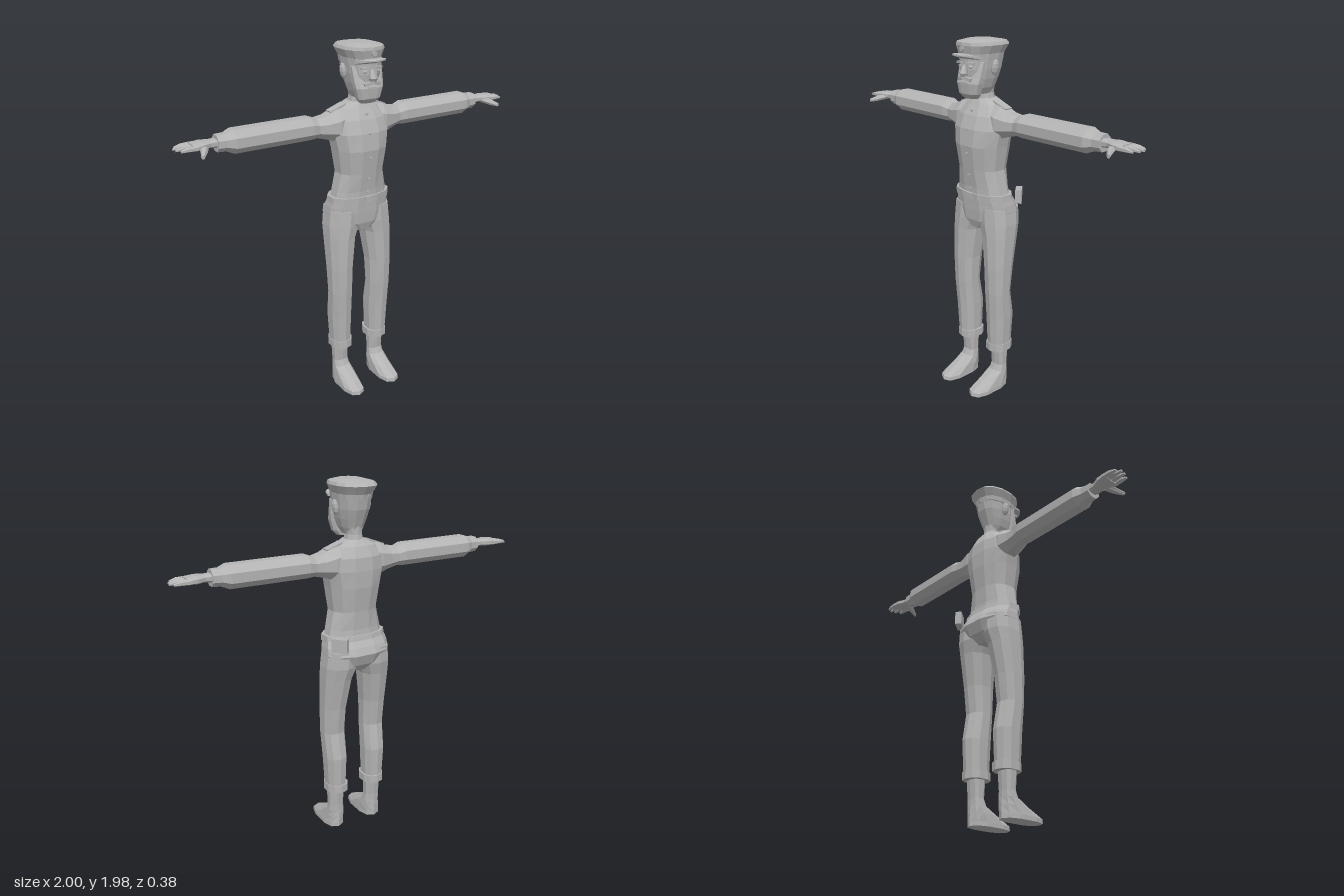
import * as THREE from 'three';

const cloth = new THREE.MeshStandardMaterial({ color: 0xb4b4b4, flatShading: true });
cloth.name = 'plain grey';

// Closed low-poly loft. Each ring is [t, uMin, uMax, vMin, vMax], t ascending.
// Axis y: u = x, v = z.  Axis x: u = z, v = y.  Axis z: u = y, v = x.
function loft(rings, sides = 10, axis = 'y', boxy = 0.85) {
  const unit = [];
  for (let i = 0; i < sides; i++) {
    const a = ((i + 0.5) / sides) * Math.PI * 2;
    unit.push([Math.cos(a), Math.sin(a)].map((c) => Math.sign(c) * Math.abs(c) ** boxy));
  }
  const mu = Math.max(...unit.map((p) => Math.abs(p[0])));
  const mv = Math.max(...unit.map((p) => Math.abs(p[1])));
  const place = (t, u, v) => (axis === 'y' ? [u, t, v] : axis === 'x' ? [t, v, u] : [v, u, t]);
  const pos = [], idx = [];
  for (const [t, u0, u1, v0, v1] of rings) {
    for (const [c, s] of unit) {
      pos.push(...place(t, (u0 + u1) / 2 + (c / mu) * (u1 - u0) / 2, (v0 + v1) / 2 + (s / mv) * (v1 - v0) / 2));
    }
  }
  const last = (rings.length - 1) * sides;
  for (let i = 0; i < sides; i++) {
    const j = (i + 1) % sides;
    for (let k = 0; k < last; k += sides) {
      const a = k + i, b = k + j, c = a + sides, d = b + sides;
      idx.push(a, c, b, b, c, d);
    }
    if (i > 0 && i < sides - 1) idx.push(0, i, j, last, last + j, last + i);
  }
  const g = new THREE.BufferGeometry();
  g.setAttribute('position', new THREE.Float32BufferAttribute(pos, 3));
  g.setIndex(idx);
  g.computeVertexNormals();
  return g;
}

// Symmetric ring around x = 0
const sym = (rings) => rings.map(([y, x, z0, z1]) => [y, -x, x, z0, z1]);

// Copy reflected across x = 0 with its faces turned back outwards
function mirrored(geo) {
  const g = geo.clone().scale(-1, 1, 1);
  const ix = g.index.array;
  for (let i = 0; i < ix.length; i += 3) [ix[i], ix[i + 1]] = [ix[i + 1], ix[i]];
  g.computeVertexNormals();
  return g;
}

export function createModel() {
  const model = new THREE.Group();
  model.name = 'uniformedMan';
  const add = (name, geo) => {
    const m = new THREE.Mesh(geo, cloth);
    m.name = name;
    model.add(m);
  };
  const pair = (name, geo) => {
    add('left' + name, geo);
    add('right' + name, mirrored(geo));
  };
  const box = (w, h, d, x, y, z, rx = 0, ry = 0, rz = 0) =>
    new THREE.BoxGeometry(w, h, d).rotateX(rx).rotateY(ry).rotateZ(rz).translate(x, y, z);
  const disc = (r, depth, x, y, z) =>
    new THREE.CylinderGeometry(r, r, depth, 8).rotateX(Math.PI / 2).translate(x, y, z);

  // Jacket body with neck
  add('jacket', loft(sym([
    [1.14, 0.165, -0.12, 0.07], [1.2, 0.152, -0.115, 0.073], [1.3, 0.13, -0.12, 0.087],
    [1.43, 0.148, -0.138, 0.105], [1.52, 0.165, -0.142, 0.096], [1.59, 0.152, -0.138, 0.072],
    [1.645, 0.11, -0.115, 0.04], [1.675, 0.055, -0.092, 0.025],
  ]), 12));
  add('neck', loft(sym([[1.65, 0.052, -0.088, 0.025], [1.7, 0.041, -0.08, 0.022], [1.78, 0.05, -0.082, 0.03]]), 10));
  [[1.615, 0.06], [1.52, 0.097], [1.39, 0.1], [1.27, 0.083], [1.195, 0.074]].forEach(([y, z], i) =>
    add('jacketButton' + (i + 1), disc(0.008, 0.012, 0, y, z)));
  pair('ShoulderStrap', box(0.095, 0.014, 0.05, 0.125, 1.645, -0.038, 0, 0, -0.35));

  // Sleeves and wrists
  pair('Sleeve', loft([
    [0.07, -0.105, 0.03, 1.5, 1.655], [0.14, -0.11, 0.045, 1.475, 1.642], [0.2, -0.1, 0.03, 1.495, 1.617],
    [0.25, -0.1, 0.015, 1.508, 1.608], [0.29, -0.108, 0.023, 1.505, 1.623], [0.71, -0.108, 0.023, 1.505, 1.623],
    [0.75, -0.088, 0.005, 1.522, 1.608], [0.795, -0.085, 0.002, 1.525, 1.607],
  ], 8, 'x', 1));
  pair('Hand', loft([
    [0.78, -0.075, -0.01, 1.545, 1.59], [0.83, -0.076, -0.008, 1.552, 1.588],
    [0.87, -0.094, 0.01, 1.55, 1.59], [0.92, -0.098, 0.012, 1.554, 1.584],
  ], 8, 'x'));

  // Fingers taper away from the palm
  [[-0.086, 0.985], [-0.06, 1.0], [-0.032, 0.995], [0, 0.98]].forEach(([z, tip], i) =>
    pair('Finger' + (i + 1), loft([
      [0.9, z - 0.014, z + 0.014, 1.555, 1.582], [0.95, z - 0.013, z + 0.013, 1.557, 1.58],
      [tip, z - 0.007, z + 0.007, 1.558, 1.57],
    ], 6, 'x')));
  pair('Thumb', loft([
    [-0.02, 1.55, 1.58, 0.835, 0.885], [0.035, 1.54, 1.566, 0.865, 0.9], [0.07, 1.535, 1.552, 0.893, 0.913],
  ], 6, 'z'));

  // Trousers
  add('trouserSeat', loft(sym([
    [0.965, 0.07, -0.105, 0.045], [1.01, 0.155, -0.148, 0.06], [1.07, 0.187, -0.172, 0.065],
    [1.11, 0.183, -0.155, 0.067], [1.16, 0.172, -0.122, 0.07],
  ]), 12));
  pair('TrouserLeg', loft([
    [0.26, 0.068, 0.175, -0.102, 0.035], [0.45, 0.062, 0.185, -0.11, 0.044], [0.6, 0.062, 0.19, -0.082, 0.054],
    [0.75, 0.058, 0.193, -0.1, 0.06], [0.93, 0.036, 0.195, -0.135, 0.061], [1.0, 0.008, 0.194, -0.153, 0.062],
    [1.09, 0.004, 0.184, -0.155, 0.06],
  ], 10));
  pair('TrouserCuff', loft([[0.237, 0.057, 0.18, -0.11, 0.04], [0.282, 0.057, 0.18, -0.11, 0.04]], 10));
  pair('Shoe', loft([
    [0, 0.066, 0.178, -0.075, 0.185], [0.022, 0.066, 0.178, -0.075, 0.182], [0.065, 0.068, 0.172, -0.073, 0.09],
    [0.105, 0.074, 0.167, -0.07, 0.015], [0.14, 0.078, 0.164, -0.07, 0], [0.25, 0.075, 0.168, -0.078, 0.008],
  ], 10, 'y', 0.75));

  // Belt with buckle and a pouch on one hip
  add('belt', loft(sym([[1.135, 0.178, -0.135, 0.078], [1.17, 0.175, -0.128, 0.08]]), 12));
  add('beltBuckle', box(0.04, 0.034, 0.01, 0, 1.153, 0.08));
  add('beltPouch', box(0.085, 0.075, 0.035, 0.148, 1.142, -0.147, 0, -0.85));

  // Head and face
  add('head', loft(sym([
    [1.7, 0.04, -0.07, 0.06], [1.735, 0.06, -0.078, 0.09], [1.78, 0.074, -0.095, 0.105],
    [1.83, 0.083, -0.115, 0.113], [1.9, 0.088, -0.13, 0.113],
  ]), 12));
  add('beard', loft(sym([
    [1.68, 0.042, 0.038, 0.088], [1.705, 0.066, 0.036, 0.108], [1.76, 0.081, 0.036, 0.113],
    [1.79, 0.085, 0.036, 0.1], [1.87, 0.09, 0.036, 0.07],
  ]), 12, 'y', 0.7));
  add('nose', loft(sym([
    [1.795, 0.014, 0.09, 0.132], [1.812, 0.02, 0.09, 0.142], [1.855, 0.009, 0.09, 0.12],
  ]), 6));
  add('mouth', box(0.045, 0.012, 0.012, 0, 1.762, 0.112));
  pair('Moustache', box(0.048, 0.018, 0.02, 0.023, 1.785, 0.112, 0, 0.25, -0.25));
  pair('Eye', new THREE.SphereGeometry(0.012, 8, 6).scale(1.2, 0.7, 0.7).translate(0.037, 1.845, 0.104));
  pair('Eyebrow', box(0.045, 0.01, 0.014, 0.04, 1.864, 0.108, 0, 0.25, -0.1));
  pair('Ear', new THREE.SphereGeometry(0.04, 8, 6).scale(0.42, 1.05, 0.55).rotateZ(-0.15).translate(0.096, 1.838, -0.012));

  // Peaked cap
  add('cap', loft(sym([
    [1.877, 0.088, -0.125, 0.114], [1.905, 0.092, -0.133, 0.119], [1.95, 0.112, -0.163, 0.131],
    [1.966, 0.104, -0.148, 0.129], [1.979, 0.055, -0.07, 0.075],
  ]), 14));
  add('capBand', loft(sym([[1.88, 0.092, -0.13, 0.118], [1.908, 0.095, -0.136, 0.122]]), 14));
  add('capVisor', loft([
    [0.075, 1.876, 1.9, -0.09, 0.09], [0.115, 1.886, 1.91, -0.08, 0.08],
    [0.145, 1.894, 1.912, -0.056, 0.056], [0.163, 1.9, 1.908, -0.022, 0.022],
  ], 8, 'z'));
  add('capBadge', disc(0.014, 0.014, 0, 1.935, 0.126));

  return model;
}
